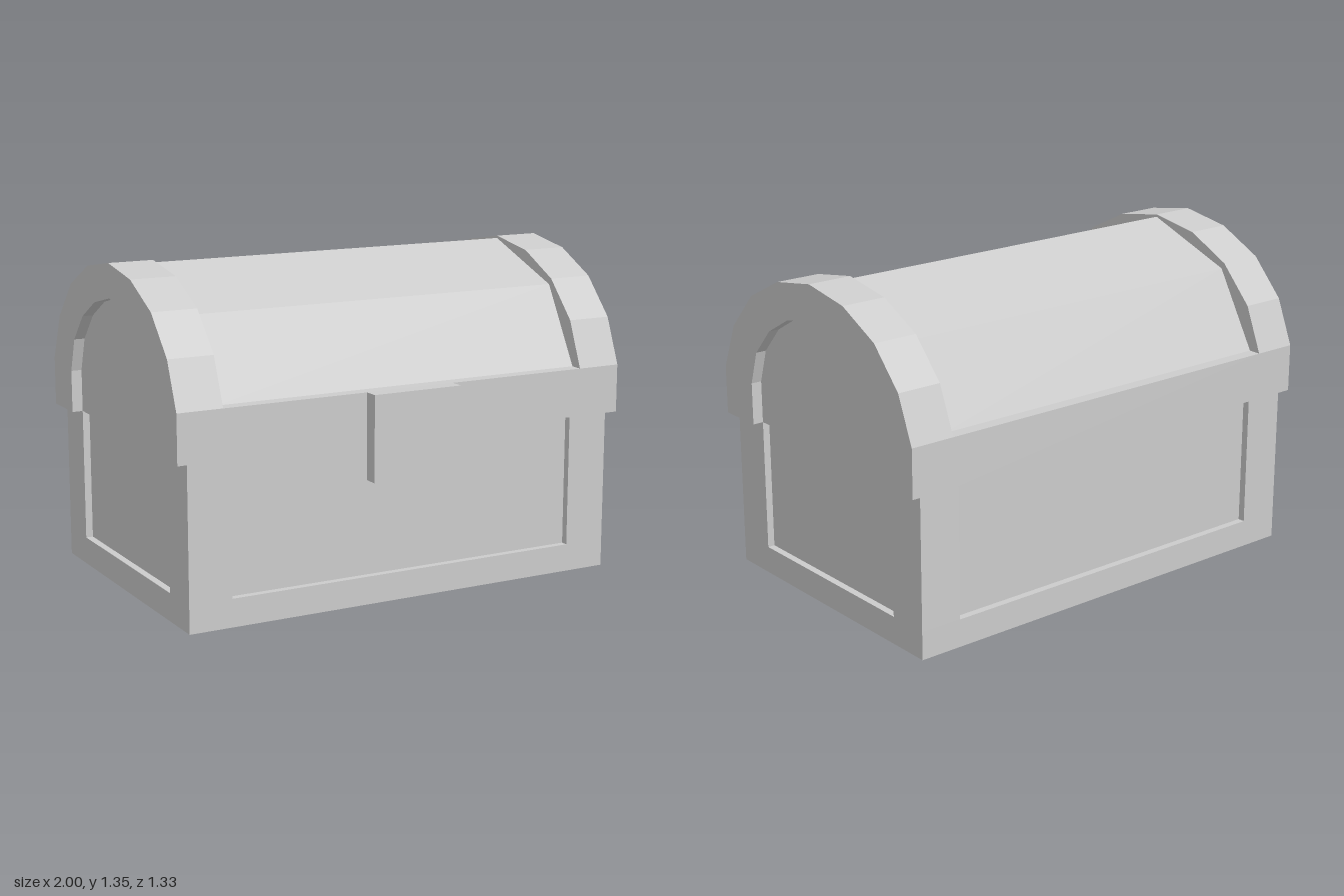
import * as THREE from 'three';

const material = new THREE.MeshStandardMaterial({ color: 0xcccccc, flatShading: true });
const MID_Z = -0.03; // the chest is symmetric front to back about this plane

// Box given by its limits on each axis
function box(name, x0, x1, y0, y1, z0, z1) {
  const mesh = new THREE.Mesh(new THREE.BoxGeometry(x1 - x0, y1 - y0, z1 - z0), material);
  mesh.position.set((x0 + x1) / 2, (y0 + y1) / 2, (z0 + z1) / 2);
  mesh.name = name;
  return mesh;
}

// Full arch outline from half of it: [distance from middle plane, y], base to ridge
function arch(half) {
  const back = half.slice(0, -1).reverse().map(([d, y]) => [-d, y]);
  return [...half, ...back].map(([d, y]) => new THREE.Vector2(d, y));
}

// Extrude an outline in the z-y plane along x, centred on x
function slab(name, points, width, x = 0) {
  const geometry = new THREE.ExtrudeGeometry(new THREE.Shape(points), { depth: width, bevelEnabled: false });
  geometry.translate(0, 0, -width / 2);
  geometry.rotateY(-Math.PI / 2);
  const mesh = new THREE.Mesh(geometry, material);
  mesh.position.set(x, 0, MID_Z);
  mesh.name = name;
  return mesh;
}

export function createModel() {
  const chest = new THREE.Group();
  chest.name = 'chest';

  // Body: recessed panels framed by a base and four corner posts
  const body = new THREE.Group();
  body.name = 'body';
  body.add(box('base', -0.955, 0.955, 0, 0.115, -0.65, 0.59));
  body.add(box('recessedPanels', -0.925, 0.925, 0.115, 0.665, -0.62, 0.56));
  for (const [x0, x1] of [[-0.955, -0.775], [0.775, 0.955]]) {
    for (const [z0, z1] of [[-0.65, -0.47], [0.41, 0.59]]) {
      body.add(box('cornerPost', x0, x1, 0.115, 0.665, z0, z1));
    }
  }
  chest.add(body);

  // Lid: rim with a coarse vault, a thick arched band at each end, inset end panels
  const lid = new THREE.Group();
  lid.name = 'lid';
  const vault = arch([[0.635, 0.665], [0.635, 0.865], [0.582, 0.866], [0.4, 1.185], [0, 1.335]]);
  const outer = arch([[0.635, 0.665], [0.635, 0.865], [0.558, 1.055], [0.415, 1.21], [0.22, 1.308], [0, 1.345]]);
  const inner = arch([[0.44, 0.665], [0.44, 0.84], [0.395, 0.98], [0.293, 1.092], [0.16, 1.167], [0, 1.205]]);
  lid.add(slab('vault', vault, 1.62));
  lid.add(slab('endPanels', inner, 1.91));
  for (const side of [-1, 1]) {
    lid.add(slab('endBand', [...outer, ...inner.slice().reverse()], 0.19, side * 0.905));
  }
  chest.add(lid);

  // Latch plate hanging over the front
  chest.add(box('latch', -0.195, 0.195, 0.515, 0.865, 0.604, 0.665));
  return chest;
}
